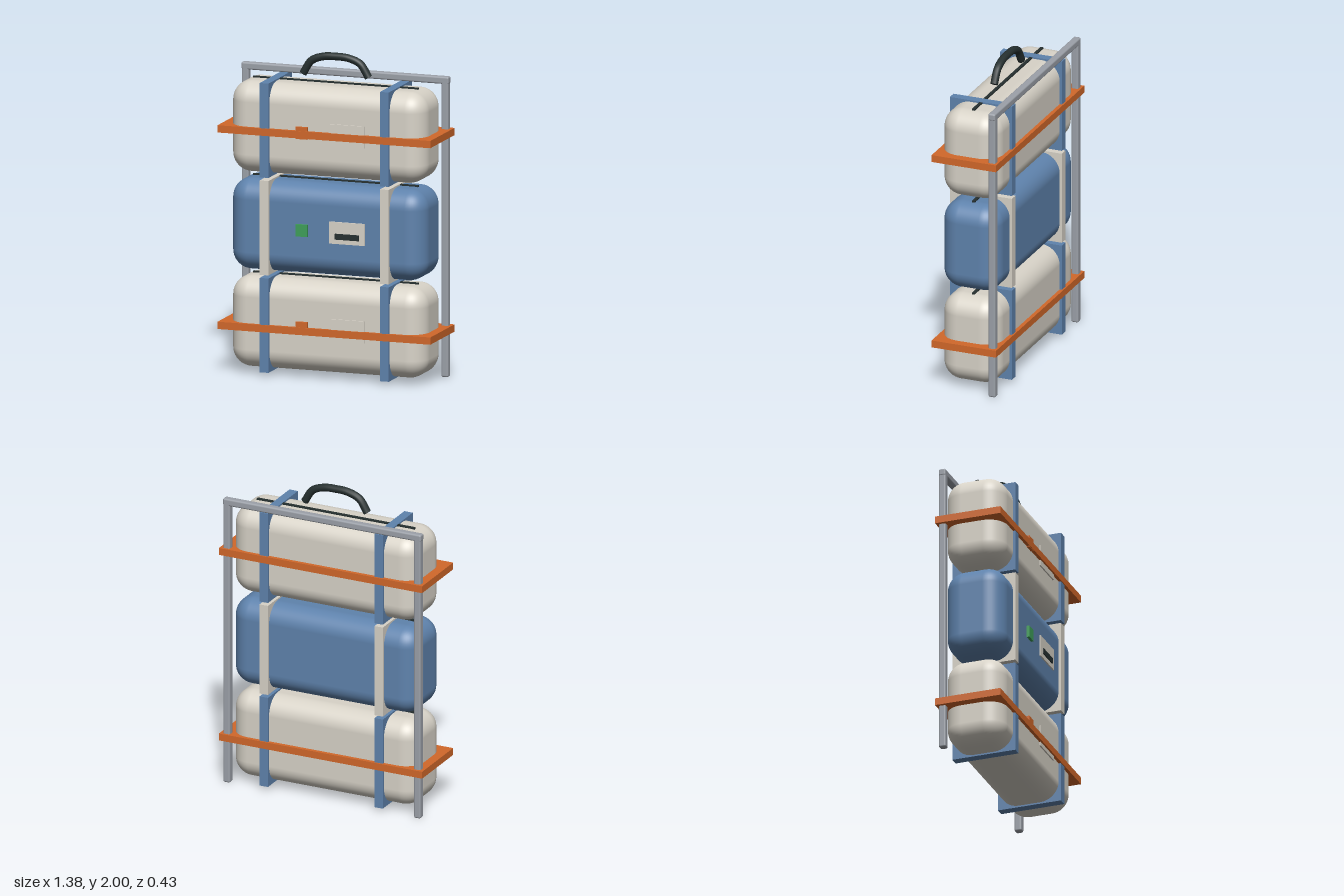
import * as THREE from 'three';
import { RoundedBoxGeometry } from 'three/addons/geometries/RoundedBoxGeometry.js';

const material = (name, color) => {
  const m = new THREE.MeshStandardMaterial({ color });
  m.name = name;
  return m;
};

export function createModel() {
  const cream = material('cream', 0xd8d3c8);
  const blue = material('blue', 0x5f83ad);
  const orange = material('orange', 0xd2682a);
  const green = material('green', 0x3fa05a);
  const dark = material('charcoal', 0x263030);
  const metal = material('grey metal', 0x9ca1a9);

  const model = new THREE.Group();
  model.name = 'bagRack';

  const add = (parent, name, geometry, mat, x, y, z) => {
    const mesh = new THREE.Mesh(geometry, mat);
    mesh.name = name;
    mesh.position.set(x, y, z);
    parent.add(mesh);
    return mesh;
  };
  const box = (parent, name, mat, w, h, d, x, y, z) =>
    add(parent, name, new THREE.BoxGeometry(w, h, d), mat, x, y, z);

  // One bag with its zip, upright straps, buckle and label, centred on its own origin
  const makeBag = (name, y, bodyMat, strapMat, buckleMat) => {
    const bag = new THREE.Group();
    bag.name = name;
    bag.position.y = y;
    model.add(bag);
    add(bag, 'body', new RoundedBoxGeometry(1.264, 0.566, 0.38, 6, 0.12), bodyMat, 0, 0, 0);
    box(bag, 'zip', dark, 1.07, 0.012, 0.02, 0, 0.285, 0);
    for (const x of [-0.39, 0.39]) box(bag, 'strap', strapMat, 0.057, 0.586, 0.41, x, 0, 0);
    box(bag, 'buckle', buckleMat, 0.075, 0.075, 0.024, -0.148, 0, 0.195);
    box(bag, 'label', cream, 0.23, 0.136, 0.016, 0.145, 0, 0.191);
    return bag;
  };

  makeBag('lowerBag', 0.318, cream, blue, orange);
  const middle = makeBag('middleBag', 0.923, blue, cream, green);
  box(middle, 'labelSlot', dark, 0.155, 0.036, 0.008, 0.145, -0.022, 0.201);
  makeBag('upperBag', 1.528, cream, blue, orange);

  // Horizontal bands around the lower and upper bags
  for (const y of [0.298, 1.518]) box(model, 'band', orange, 1.38, 0.045, 0.425, 0, y, -0.002);

  // Rear frame: two posts and a top rail
  for (const x of [-0.647, 0.647])
    add(model, 'framePost', new RoundedBoxGeometry(0.046, 1.85, 0.046, 2, 0.011), metal, x, 0.925, -0.177);
  add(model, 'frameRail', new RoundedBoxGeometry(1.345, 0.046, 0.046, 2, 0.011), metal, 0, 1.842, -0.177);

  // Arched carrying handle with closed ends
  const path = new THREE.CatmullRomCurve3(
    [[-0.212, 1.859], [-0.158, 1.94], [-0.08, 1.971], [0, 1.976], [0.08, 1.971], [0.158, 1.94], [0.212, 1.859]]
      .map(([x, y]) => new THREE.Vector3(x, y, 0)));
  const handle = new THREE.Group();
  handle.name = 'handle';
  model.add(handle);
  add(handle, 'grip', new THREE.TubeGeometry(path, 40, 0.024, 12), dark, 0, 0, 0);
  for (const t of [0, 1]) {
    const p = path.getPointAt(t);
    const outward = path.getTangentAt(t).multiplyScalar(t ? 1 : -1);
    const cap = add(handle, 'gripEnd', new THREE.CircleGeometry(0.024, 12), dark, p.x, p.y, p.z);
    cap.quaternion.setFromUnitVectors(new THREE.Vector3(0, 0, 1), outward);
  }

  return model;
}
